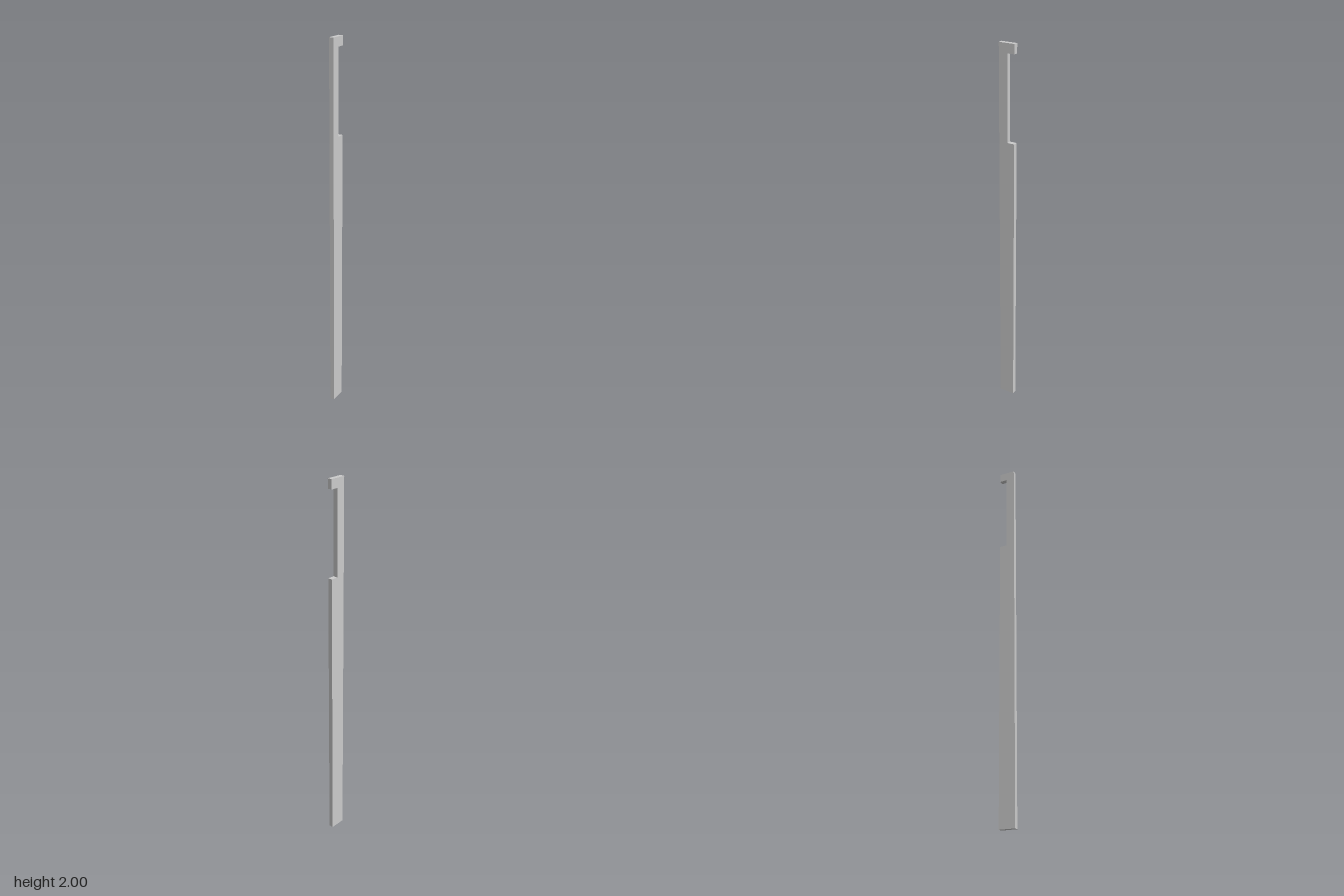
import * as THREE from 'three';

export function createModel() {
  const group = new THREE.Group();
  const thickness = 0.024, half = 0.042;
  const notchZ = -0.004, notchBottom = 1.52, notchTop = 1.953;

  // Side profile (z, y): a tall plank with a notch cut into its back edge
  const profile = new THREE.Shape([
    [half, 0], [half, 2], [-half, 2], [-half, notchTop],
    [notchZ, notchTop], [notchZ, notchBottom], [-half, notchBottom], [-half, 0],
  ].map(([z, y]) => new THREE.Vector2(z, y)));

  // Extrude across the thickness, then turn the profile into the z-y plane
  const geometry = new THREE.ExtrudeGeometry(profile, { depth: thickness, bevelEnabled: false });
  geometry.translate(0, 0, -thickness / 2);
  geometry.rotateY(-Math.PI / 2);

  const plank = new THREE.Mesh(geometry, new THREE.MeshStandardMaterial({ color: 0xcccccc }));
  plank.name = 'notchedPlank';
  group.add(plank);
  return group;
}
